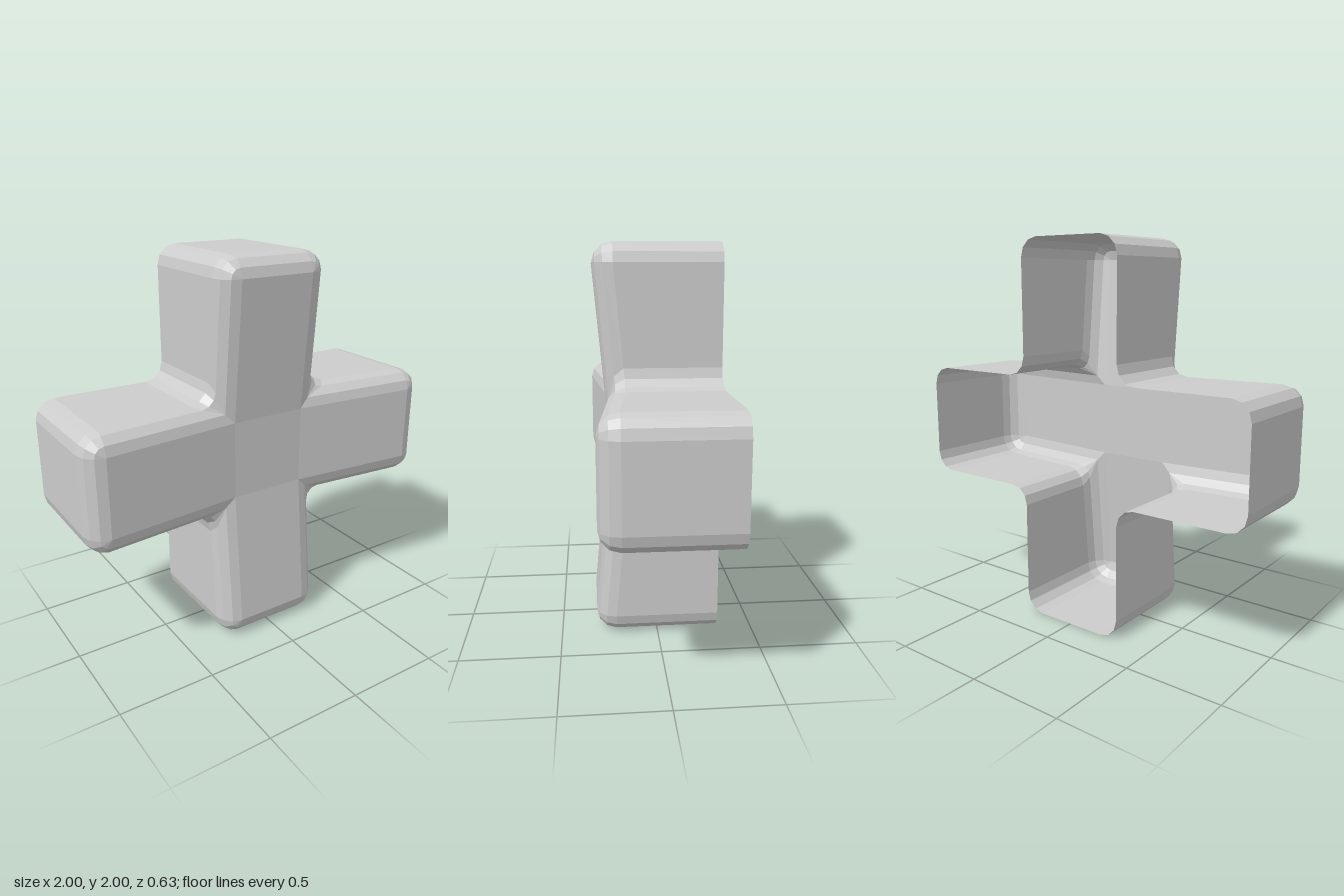
import * as THREE from 'three';

const BACK = -0.315, BEVEL = 0.1, HALF = 0.3;

// Front surface height: flat centre, arms rising towards their tips
function frontZ(x, y) {
  const d = Math.min(Math.max(Math.abs(x), Math.abs(y)), 0.9);
  return 0.25 + 0.065 * Math.max(0, d - 0.2) / 0.7;
}

// Cross outline (counterclockwise) shrunk by inset; inner fillets sharpen as it shrinks
function outline(inset) {
  const pts = [];
  const arc = (cx, cy, r, from, to, turn) => {
    for (let s = 0; s <= 3; s++) {
      const a = THREE.MathUtils.degToRad(from + (to - from) * s / 3);
      pts.push(new THREE.Vector2(cx + r * Math.cos(a), cy + r * Math.sin(a))
        .rotateAround(new THREE.Vector2(), turn));
    }
  };
  const fillet = 0.1 * Math.max(0, 1 - inset / 0.05);
  const c = HALF - inset + fillet;
  for (let k = 0; k < 4; k++) {
    const turn = k * Math.PI / 2;
    arc(c, -c, fillet, 180, 90, turn);
    arc(0.9, -0.2, BEVEL - inset, -90, 0, turn);
    arc(0.9, 0.2, BEVEL - inset, 0, 90, turn);
  }
  return pts;
}

// Unshared triangles give flat facets
function facets(quads) {
  const pos = [];
  const tri = (a, b, c) => {
    const area = b.clone().sub(a).cross(c.clone().sub(a)).length();
    if (area > 1e-8) for (const p of [a, b, c]) pos.push(p.x, p.y, p.z);
  };
  for (const [a, b, c, d] of quads) {
    tri(a, b, c);
    tri(a, c, d);
  }
  const g = new THREE.BufferGeometry();
  g.setAttribute('position', new THREE.Float32BufferAttribute(pos, 3));
  g.computeVertexNormals();
  return g;
}

function loft(rings) {
  const quads = [];
  for (let i = 0; i < rings.length - 1; i++) {
    const lo = rings[i], hi = rings[i + 1];
    lo.forEach((p, j) => {
      const n = (j + 1) % lo.length;
      quads.push([p, lo[n], hi[n], hi[j]]);
    });
  }
  return facets(quads);
}

export function createModel() {
  const model = new THREE.Group();
  model.name = 'crossShell';
  const grey = new THREE.MeshStandardMaterial({ color: 0xcccccc, side: THREE.DoubleSide, flatShading: true });
  grey.name = 'light grey';
  const add = (name, geometry) => {
    const mesh = new THREE.Mesh(geometry, grey);
    mesh.name = name;
    mesh.position.y = 1;
    model.add(mesh);
  };

  // Side wall, open at the back
  const bevelRings = [0, 30, 60, 90].map((deg) => {
    const a = THREE.MathUtils.degToRad(deg);
    const inset = BEVEL * (1 - Math.cos(a)), drop = BEVEL * (1 - Math.sin(a));
    return outline(inset).map((p) => new THREE.Vector3(p.x, p.y, frontZ(p.x, p.y) - drop));
  });
  const backRing = bevelRings[0].map((p) => new THREE.Vector3(p.x, p.y, BACK));
  add('sideWall', loft([backRing, bevelRings[0]]));

  // Rounded front edge
  add('roundedEdge', loft(bevelRings));

  // Front face: flat centre and four sloping arms
  const at = (x, y) => new THREE.Vector3(x, y, frontZ(x, y));
  const w = HALF - BEVEL;
  add('centreFace', facets([[at(-w, -w), at(w, -w), at(w, w), at(-w, w)]]));
  const axis = new THREE.Vector3(0, 0, 1);
  const arms = [];
  for (let k = 0; k < 4; k++) {
    arms.push([at(w, -w), at(0.9, -w), at(0.9, w), at(w, w)]
      .map((p) => p.applyAxisAngle(axis, k * Math.PI / 2)));
  }
  add('armFaces', facets(arms));

  return model;
}
